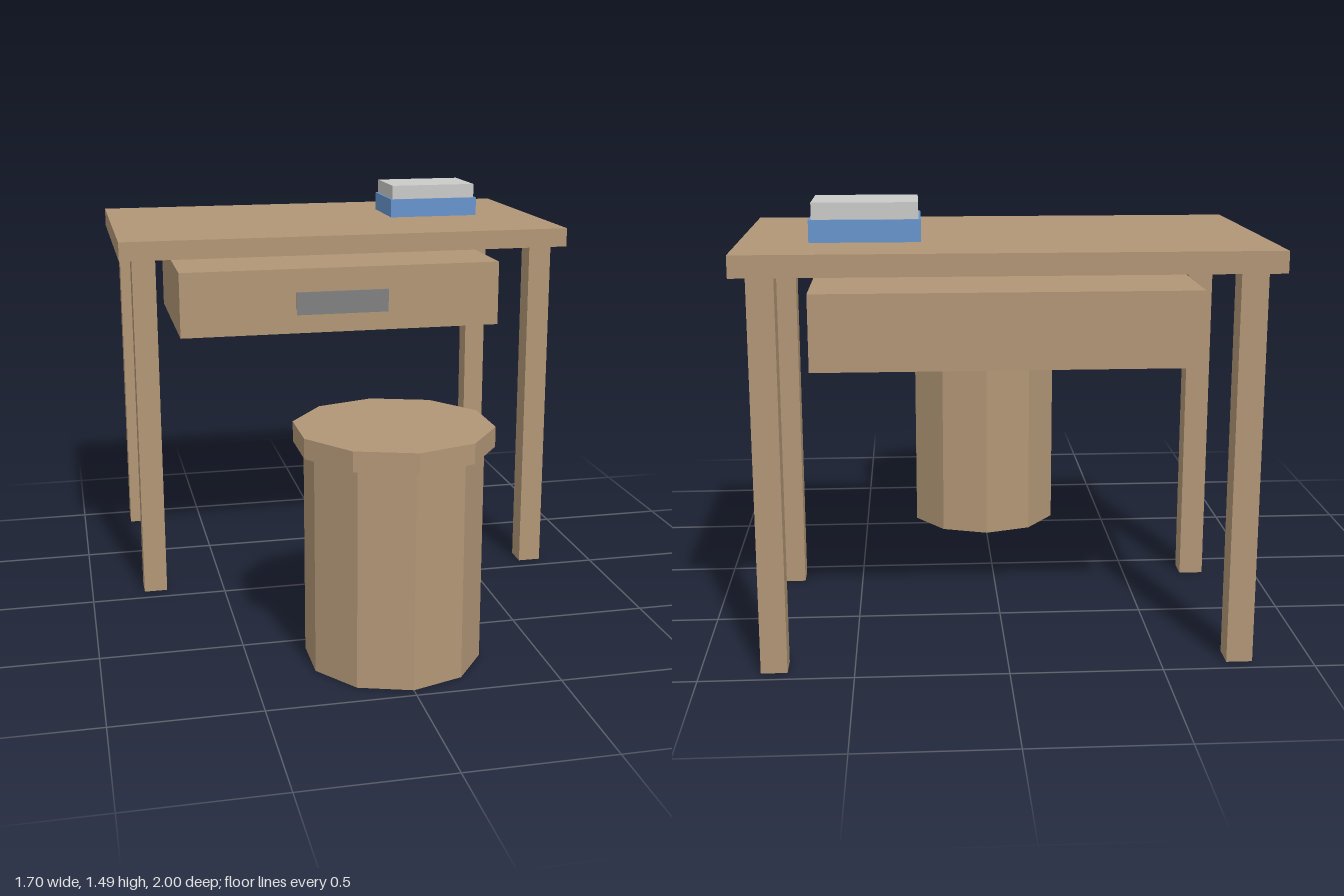
import * as THREE from 'three';

const material = (name, color) => {
  const m = new THREE.MeshStandardMaterial({ color });
  m.name = name;
  return m;
};

export function createModel() {
  const model = new THREE.Group();
  const wood = material('wood', 0xb29676);
  const blue = material('blue cover', 0x6694cc);
  const paper = material('pale grey cover', 0xcacac8);
  const metal = material('grey metal', 0x808080);

  // Box given by its [min, max] range on each axis
  const box = (name, mat, [x0, x1], [y0, y1], [z0, z1], parent) => {
    const mesh = new THREE.Mesh(new THREE.BoxGeometry(x1 - x0, y1 - y0, z1 - z0), mat);
    mesh.position.set((x0 + x1) / 2, (y0 + y1) / 2, (z0 + z1) / 2);
    mesh.name = name;
    parent.add(mesh);
  };

  // Ten-sided prism with a corner facing the front
  const prism = (name, radius, y0, y1, parent) => {
    const geometry = new THREE.CylinderGeometry(radius, radius, y1 - y0, 10).toNonIndexed();
    geometry.computeVertexNormals();
    const mesh = new THREE.Mesh(geometry, wood);
    mesh.position.y = (y0 + y1) / 2;
    mesh.name = name;
    parent.add(mesh);
  };

  // Desk: top, four legs, hanging drawer with its handle plate
  const desk = new THREE.Group();
  desk.name = 'desk';
  box('deskTop', wood, [-0.85, 0.85], [1.295, 1.365], [-1, -0.013], desk);
  for (const [side, x] of [['Left', 0.76], ['Right', -0.76]]) {
    for (const [end, z] of [['front', -0.102], ['back', -0.91]]) {
      box(`${end}${side}Leg`, wood, [x - 0.043, x + 0.043], [0, 1.295], [z - 0.043, z + 0.043], desk);
    }
  }
  box('drawer', wood, [-0.626, 0.626], [0.973, 1.223], [-0.867, -0.147], desk);
  box('drawerHandle', metal, [-0.18, 0.18], [1.045, 1.133], [-0.147, -0.139], desk);

  // Two stacked books
  const books = new THREE.Group();
  books.name = 'books';
  box('lowerBook', blue, [0.268, 0.625], [1.365, 1.437], [-0.732, -0.463], books);
  box('upperBook', paper, [0.276, 0.616], [1.437, 1.491], [-0.722, -0.472], books);

  // Stool: tall body with a wider seat
  const stool = new THREE.Group();
  stool.name = 'stool';
  stool.position.z = 0.66;
  prism('stoolBody', 0.304, 0, 0.757, stool);
  prism('stoolSeat', 0.34, 0.757, 0.826, stool);

  model.add(desk, books, stool);
  return model;
}
